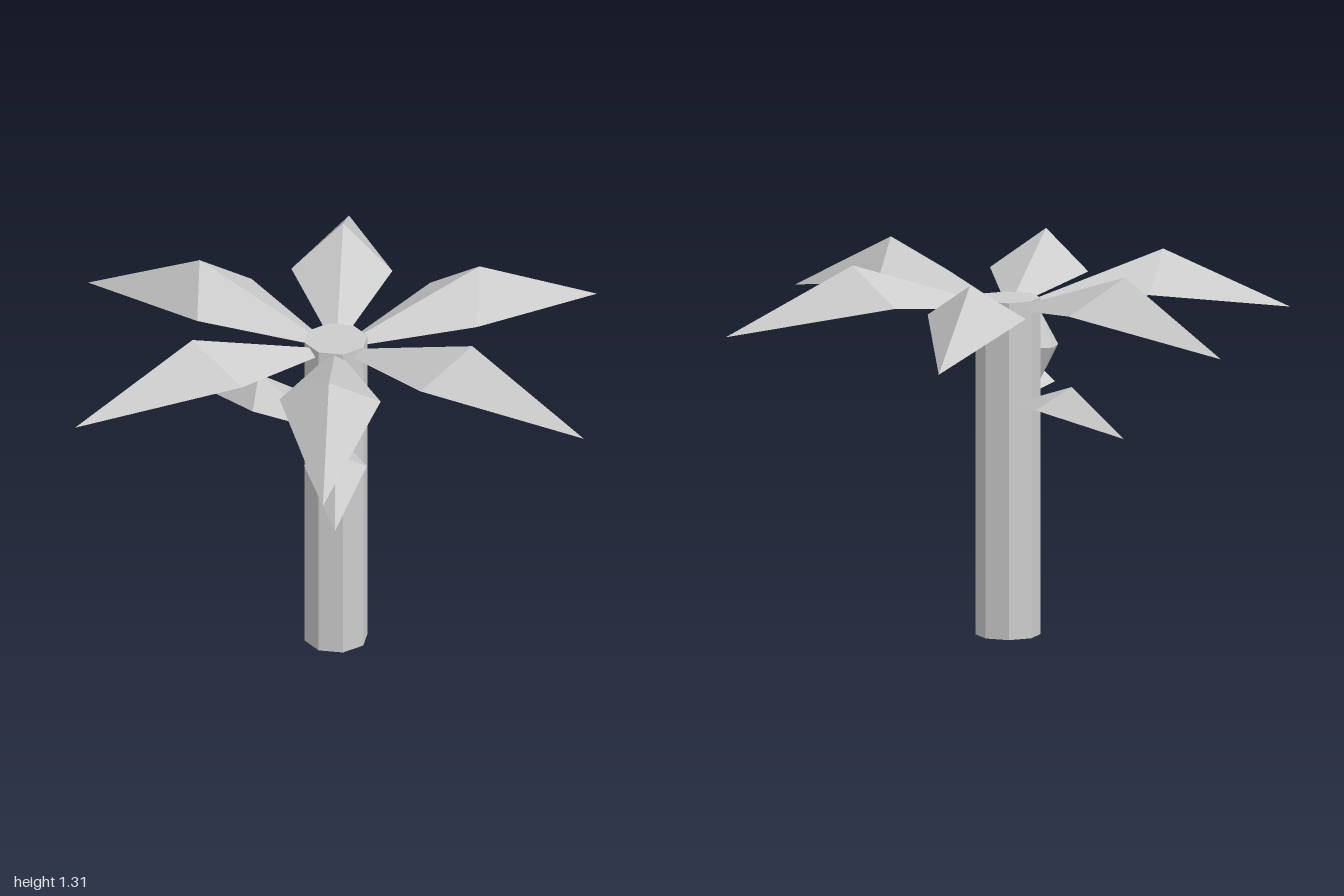
import * as THREE from 'three';

const grey = new THREE.MeshStandardMaterial({ color: 0xcccccc, flatShading: true });
grey.name = 'plain grey';

// Folded leaf pointing along +x: root, two side corners, raised peak, drooping tip
function frondGeometry() {
  const root = [0, 0, 0];
  const left = [0.45, 0.055, 0.172];
  const right = [0.45, 0.055, -0.172];
  const peak = [0.55, 0.18, 0];
  const tip = [1, -0.045, 0];
  const faces = [
    root, left, peak, root, peak, right,
    left, tip, peak, right, peak, tip,
    root, right, left, right, tip, left,
  ];
  const geometry = new THREE.BufferGeometry();
  geometry.setAttribute('position', new THREE.Float32BufferAttribute(faces.flat(), 3));
  geometry.computeVertexNormals();
  return geometry;
}

export function createModel() {
  const tree = new THREE.Group();
  tree.name = 'palmTree';

  const add = (name, geometry, x, y, z) => {
    const mesh = new THREE.Mesh(geometry, grey);
    mesh.name = name;
    mesh.position.set(x, y, z);
    tree.add(mesh);
    return mesh;
  };

  // Eight-sided trunk
  add('trunk', new THREE.CylinderGeometry(0.11, 0.11, 1.165, 8), 0, 0.5825, 0);

  // Fronds: angle runs from +x towards +z
  const leaf = frondGeometry();
  const addFrond = (name, y, degrees, size) => {
    const frond = add(name, leaf, 0, y, 0);
    frond.rotation.y = -THREE.MathUtils.degToRad(degrees);
    frond.scale.setScalar(size);
  };
  for (let i = 0; i < 6; i++) addFrond('crownFrond' + (i + 1), 1.125, i * 60, 1);
  addFrond('lowerFrondLeft', 0.793, 57.8, 0.62);
  addFrond('lowerFrondRight', 0.793, 187, 0.62);

  // Six-sided pointed fruit at the front of the trunk
  const fruit = new THREE.SphereGeometry(1, 6, 2);
  add('fruit', fruit, 0, 0.98, 0.15).scale.set(0.07, 0.13, 0.07);

  return tree;
}
